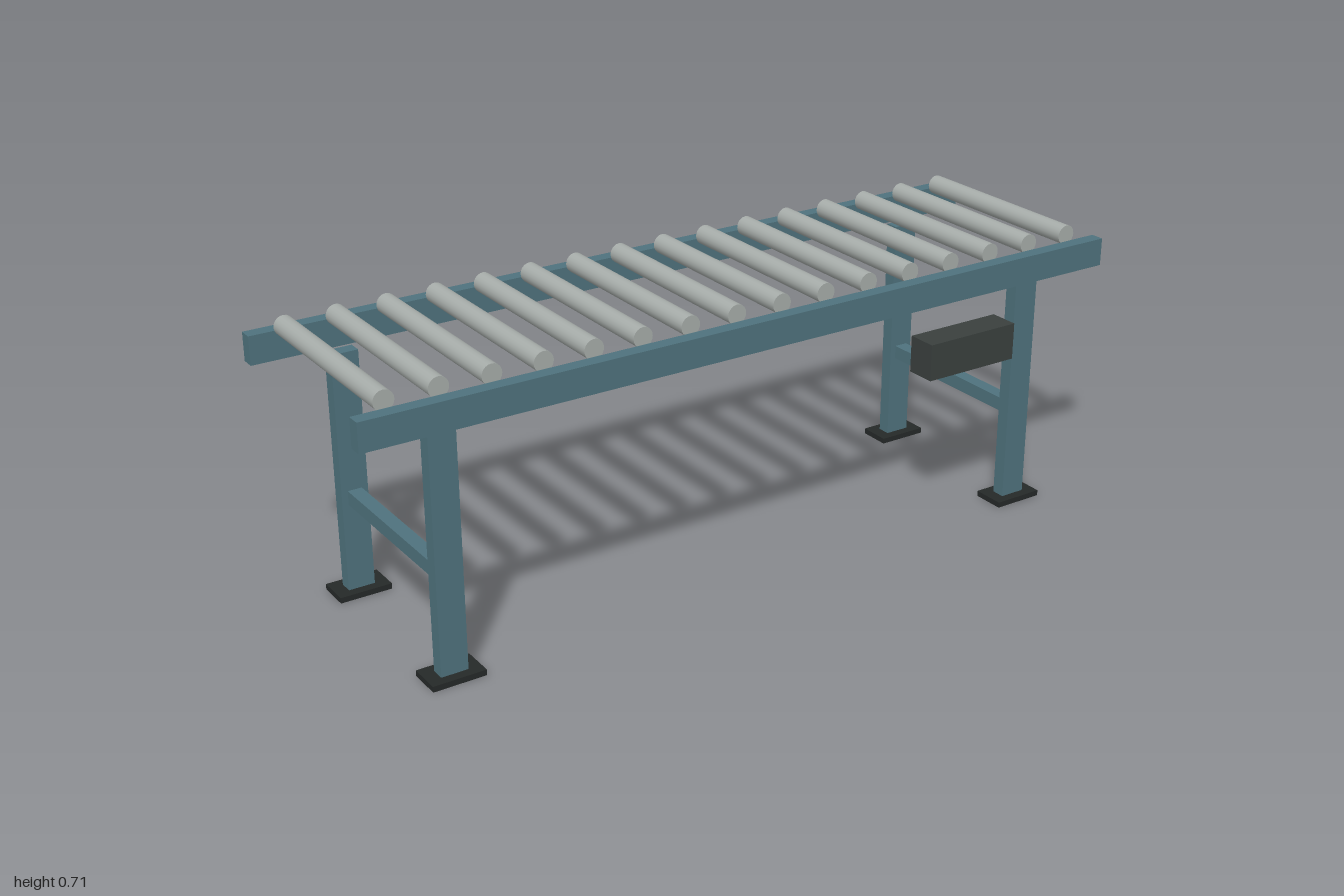
import * as THREE from 'three';

export function createModel() {
  const group = new THREE.Group();
  const mat = (color) => new THREE.MeshStandardMaterial({ color });
  const steel = mat(0x4f727d), rubber = mat(0x252928), housing = mat(0x3a403e), metal = mat(0xa6aca9);

  const add = (name, geometry, material, x, y, z) => {
    const mesh = new THREE.Mesh(geometry, material);
    mesh.name = name;
    mesh.position.set(x, y, z);
    group.add(mesh);
    return mesh;
  };

  // Long side rails
  const railGeo = new THREE.BoxGeometry(2, 0.069, 0.034);
  for (const s of [1, -1]) add('sideRail', railGeo, steel, 0, 0.6375, s * 0.275);

  // Row of rollers, lying across the bed
  const count = 16, span = 1.84;
  const rollerGeo = new THREE.CylinderGeometry(0.0243, 0.0243, 0.496, 20).rotateX(Math.PI / 2);
  for (let i = 0; i < count; i++) {
    add('roller', rollerGeo, metal, -span / 2 + (span * i) / (count - 1), 0.684, 0);
  }

  // Two leg frames: legs, foot plates and a cross brace
  const legGeo = new THREE.BoxGeometry(0.066, 0.602, 0.034);
  const footGeo = new THREE.BoxGeometry(0.13, 0.014, 0.082);
  const braceGeo = new THREE.BoxGeometry(0.035, 0.035, 0.434);
  for (const x of [-0.797, 0.797]) {
    for (const s of [1, -1]) {
      add('leg', legGeo, steel, x, 0.302, s * 0.2335);
      add('footPlate', footGeo, rubber, x, 0.007, s * 0.2335);
    }
    add('crossBrace', braceGeo, steel, x, 0.2485, 0);
  }

  // Drive control box on the front side
  add('controlBox', new THREE.BoxGeometry(0.258, 0.092, 0.075), housing, 0.598, 0.461, 0.2545);

  return group;
}
